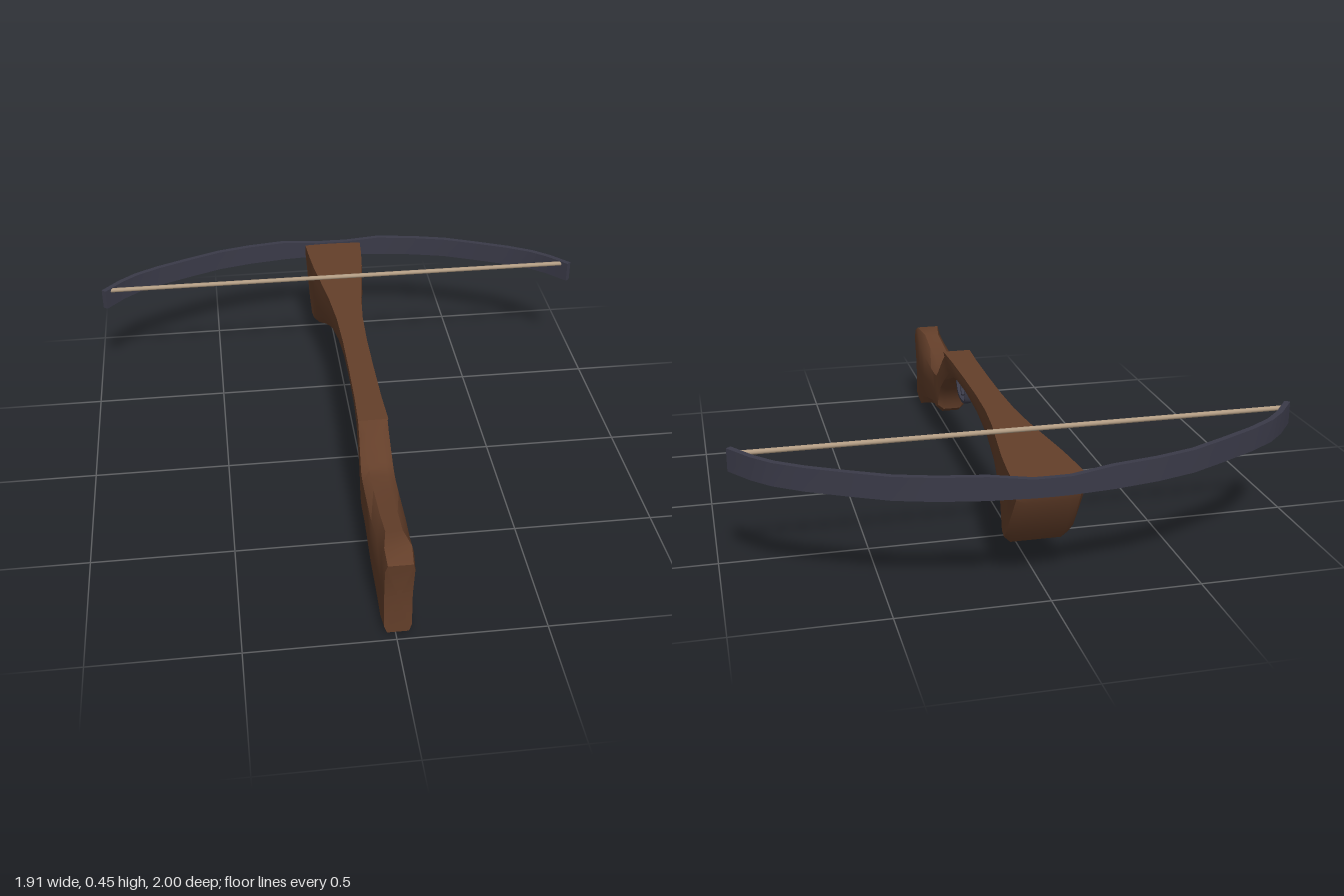
import * as THREE from 'three';
import { toCreasedNormals } from 'three/addons/utils/BufferGeometryUtils.js';

// Skin a list of equal-sized rings of Vector3 and cap both ends.
function loft(rings, crease) {
  const n = rings[0].length, tris = [];
  const centre = (r) => r.reduce((s, p) => s.add(p), new THREE.Vector3()).divideScalar(n);
  for (let i = 0; i < rings.length - 1; i++) {
    for (let j = 0; j < n; j++) {
      const k = (j + 1) % n, a = rings[i], b = rings[i + 1];
      tris.push([a[j], a[k], b[k]], [a[j], b[k], b[j]]);
    }
  }
  const first = rings[0], last = rings[rings.length - 1];
  const c0 = centre(first), c1 = centre(last);
  for (let j = 0; j < n; j++) {
    const k = (j + 1) % n;
    tris.push([c0, first[k], first[j]], [c1, last[j], last[k]]);
  }
  // Signed volume tells whether the faces point outwards.
  const cross = new THREE.Vector3();
  const volume = tris.reduce((s, [a, b, c]) => s + a.dot(cross.crossVectors(b, c)), 0);
  if (volume < 0) tris.forEach((t) => t.reverse());
  const geo = new THREE.BufferGeometry().setFromPoints(tris.flat());
  return toCreasedNormals(geo, crease);
}

// Flat strip of the given width (x) and thickness along a curve in the z-y plane.
function strip(points, width, thickness, steps) {
  const curve = new THREE.CatmullRomCurve3(points.map(([z, y]) => new THREE.Vector3(0, y, z)));
  const rings = [];
  for (let i = 0; i <= steps; i++) {
    const p = curve.getPoint(i / steps), t = curve.getTangent(i / steps);
    const side = new THREE.Vector3(0, -t.z, t.y).multiplyScalar(thickness / 2);
    rings.push([[-1, -1], [1, -1], [1, 1], [-1, 1]].map(([sx, sn]) =>
      p.clone().addScaledVector(side, sn).add(new THREE.Vector3(sx * width / 2, 0, 0))));
  }
  return loft(rings, 0.6);
}

export function createModel() {
  const group = new THREE.Group();
  const mat = (name, color) => Object.assign(new THREE.MeshStandardMaterial({ color }), { name });
  const wood = mat('wood', 0x643f2a);
  const steel = mat('dark steel', 0x3a3a48);
  const cord = mat('cord', 0xb39d84);
  const add = (name, geo, material, x = 0) => {
    const mesh = new THREE.Mesh(geo, material);
    mesh.name = name;
    mesh.position.x = x;
    group.add(mesh);
    return mesh;
  };

  // Half outlines of the stock: [share of half width, share of height], top to bottom.
  const rounded = [[0.5, 1], [0.95, 0.87], [1, 0.5], [0.95, 0.12], [0.55, 0]];
  const flatTop = [[1, 1], [1, 0.8], [1, 0.5], [0.88, 0.18], [0.6, 0]];
  const boxy = [[0.85, 1], [1, 0.9], [0.96, 0.5], [0.95, 0.08], [0.75, 0]];

  // Stations: top z, top y, bottom z, bottom y, half width, outline, sag of the end.
  const stations = [
    [1.0, 0.32, 0.975, 0.015, 0.048, boxy, 0.02],
    [0.94, 0.345, 0.91, 0.005, 0.052, boxy, 0.01],
    [0.85, 0.335, 0.83, 0.035, 0.056, rounded],
    [0.73, 0.313, 0.72, 0.073, 0.06, rounded],
    [0.58, 0.295, 0.56, 0.12, 0.06, rounded],
    [0.51, 0.293, 0.475, 0.12, 0.06, rounded],
    [0.475, 0.297, 0.443, 0.14, 0.06, rounded],
    [0.45, 0.31, 0.437, 0.175, 0.059, rounded],
    [0.41, 0.345, 0.395, 0.24, 0.057, rounded],
    [0.375, 0.383, 0.33, 0.29, 0.055, rounded],
    [0.345, 0.415, 0.25, 0.337, 0.053, flatTop],
    [0.2, 0.415, 0.15, 0.348, 0.048, flatTop],
    [0, 0.415, 0, 0.35, 0.046, flatTop],
    [-0.18, 0.415, -0.18, 0.333, 0.046, flatTop],
    [-0.35, 0.415, -0.35, 0.302, 0.051, flatTop],
    [-0.5, 0.415, -0.5, 0.263, 0.064, flatTop],
    [-0.65, 0.415, -0.64, 0.212, 0.084, flatTop],
    [-0.77, 0.415, -0.73, 0.17, 0.1, flatTop],
    [-0.84, 0.415, -0.79, 0.142, 0.107, boxy],
    [-0.9, 0.415, -0.835, 0.141, 0.112, boxy],
    [-0.95, 0.415, -0.875, 0.185, 0.115, boxy],
    [-0.98, 0.415, -0.97, 0.33, 0.117, flatTop],
  ];
  const stockRings = stations.map(([tz, ty, bz, by, w, outline, sag = 0]) => {
    const point = (side) => ([u, v]) => {
      // The fore end keeps a full-width flat top.
      const share = tz < 0.35 && v > 0.85 ? 1 : u;
      return new THREE.Vector3(side * share * w, by + (ty - by) * v,
        bz + (tz - bz) * v - sag * 4 * v * (1 - v));
    };
    return [...outline.map(point(1)), ...[...outline].reverse().map(point(-1))];
  });
  add('stock', loft(stockRings, 0.75), wood, 0.007);

  // Bow limbs: one half path in x-z, mirrored, with a shallow dip at the middle.
  const half = [[0.06, -0.989], [0.2, -0.977], [0.35, -0.952], [0.48, -0.917], [0.6, -0.863],
    [0.73, -0.8], [0.82, -0.745], [0.88, -0.69], [0.945, -0.61]];
  const path = [...half.map(([x, z]) => [-x, z]).reverse(), [0, -0.99], ...half];
  const bowRings = path.map(([x, z], i) => {
    const a = path[Math.max(i - 1, 0)], b = path[Math.min(i + 1, path.length - 1)];
    const t = new THREE.Vector2(b[0] - a[0], b[1] - a[1]).normalize().multiplyScalar(0.01);
    const low = 0.358 + (z + 1) * 0.05;
    const high = low + (Math.abs(x) < 0.07 ? 0.062 : 0.078);
    return [[-1, low], [1, low], [1, high], [-1, high]].map(([s, y]) =>
      new THREE.Vector3(x - s * t.y, y, z + s * t.x));
  });
  add('bowLimbs', loft(bowRings, 0.5), steel);

  // Bowstring
  const string = add('bowstring', new THREE.CylinderGeometry(0.009, 0.009, 1.85, 8), cord);
  string.rotation.z = Math.PI / 2;
  string.position.set(0, 0.443, -0.635);

  // Trigger guard and trigger
  add('triggerGuard', strip([[0.3, 0.335], [0.29, 0.3], [0.26, 0.268], [0.2, 0.258], [0.15, 0.27],
    [0.14, 0.305], [0.137, 0.34], [0.105, 0.348]], 0.026, 0.01, 28), steel, 0.007);
  add('trigger', strip([[0.215, 0.355], [0.234, 0.325], [0.235, 0.295], [0.22, 0.273]],
    0.016, 0.011, 10), steel, 0.007);

  return group;
}
